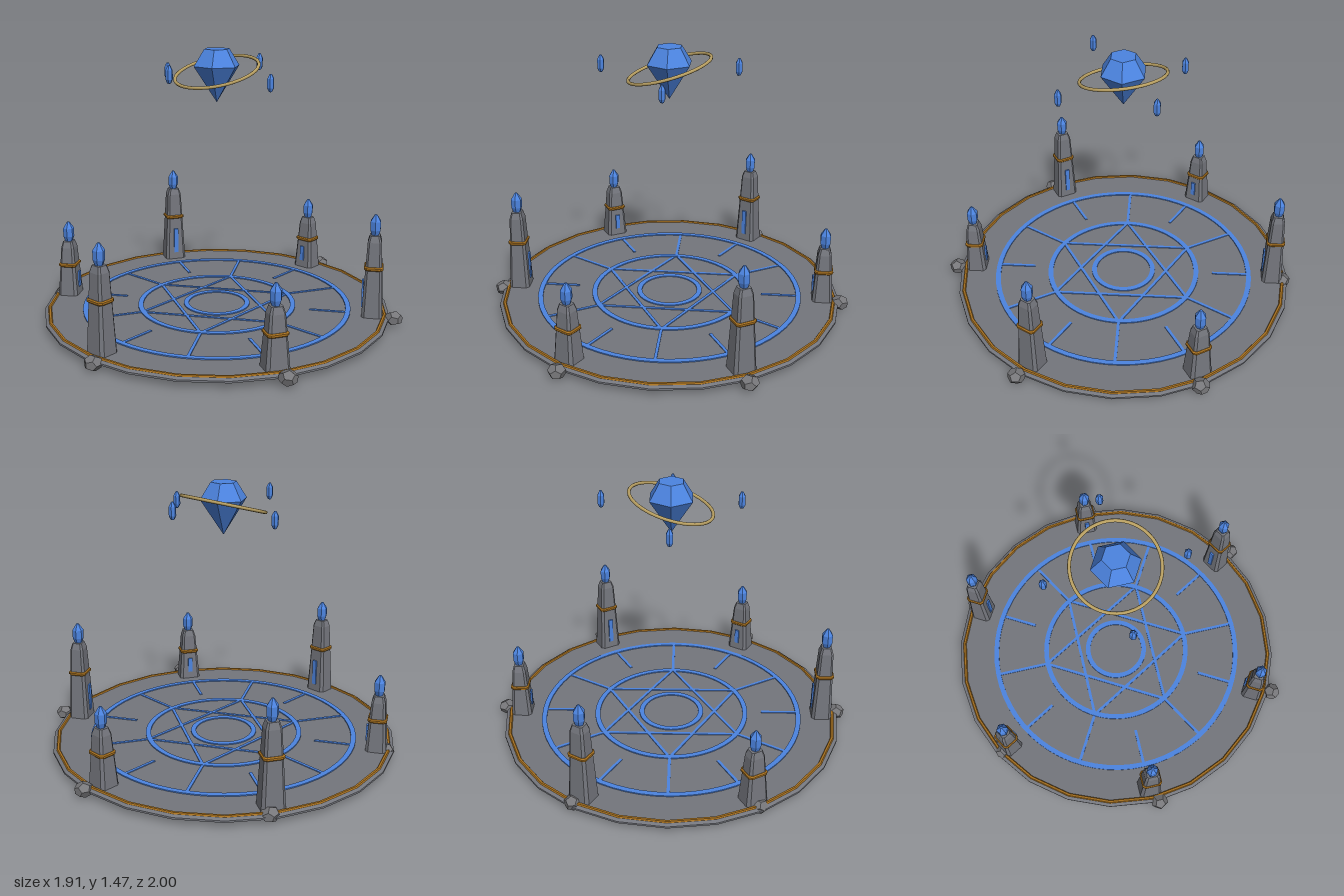
import * as THREE from 'three';

const mat = (name, color) => {
  const m = new THREE.MeshStandardMaterial({ color });
  m.name = name;
  return m;
};

// Faceted copy of a geometry
function facet(geo) {
  const g = geo.index ? geo.toNonIndexed() : geo;
  g.computeVertexNormals();
  return g;
}

// Turned shape from [radius, y] pairs, bottom to top
function turned(profile, sides) {
  const pts = profile.map(([r, y]) => new THREE.Vector2(r, y));
  return facet(new THREE.LatheGeometry(pts, sides));
}

// Six-sided gem with corners on the x axis
const gem = (profile) => turned(profile, 6).rotateY(Math.PI / 2);

// Stack of chamfered rectangles, each level [y, halfWidth, halfDepth], capped at both ends
function chamferedStack(levels, cut = 0.28) {
  const rings = levels.map(([y, w, d]) => {
    const c = cut * Math.min(w, d);
    return [[w, -d + c], [w, d - c], [w - c, d], [-w + c, d], [-w, d - c], [-w, -d + c], [-w + c, -d], [w - c, -d]]
      .map(([x, z]) => [x, y, z]);
  });
  const pos = [];
  const tri = (...p) => p.forEach((v) => pos.push(...v));
  const top = rings[rings.length - 1];
  for (let i = 0; i < 8; i++) {
    const j = (i + 1) % 8;
    for (let k = 0; k < rings.length - 1; k++) {
      const a = rings[k], b = rings[k + 1];
      tri(a[i], b[i], a[j]);
      tri(a[j], b[i], b[j]);
    }
    tri([0, levels[0][0], 0], rings[0][i], rings[0][j]);
    tri([0, top[0][1], 0], top[j], top[i]);
  }
  const g = new THREE.BufferGeometry();
  g.setAttribute('position', new THREE.Float32BufferAttribute(pos, 3));
  g.computeVertexNormals();
  return g;
}

export function createModel() {
  const root = new THREE.Group();
  root.name = 'crystalShrine';
  const stone = mat('stone', 0x74767d);
  const rubble = mat('rubble', 0x77777a);
  const blue = mat('crystalBlue', 0x4c84e0);
  const bronze = mat('bronze', 0xa8711f);
  const paleGold = mat('paleGold', 0xb9a062);

  const add = (name, geo, material, parent = root) => {
    const m = new THREE.Mesh(geo, material);
    m.name = name;
    parent.add(m);
    return m;
  };

  // Floor disc and its rim
  const floorY = 0.052;
  add('floorDisc', turned([[0, 0.034], [0.955, 0.034], [0.955, 0.044], [0.94, floorY], [0, floorY]], 24), stone);
  add('floorRim', facet(new THREE.TorusGeometry(0.928, 0.011, 6, 24)).rotateX(Math.PI / 2), bronze).position.y = 0.05;

  // Inlaid rings
  const h = 0.006;
  for (const r of [0.17, 0.425, 0.73]) {
    const w = 0.014;
    const ring = turned([[r + w, 0], [r + w, h], [r - w, h], [r - w, 0]], 64);
    add('floorRing', ring, blue).position.y = floorY;
  }

  // Straight inlay between two floor points
  function inlay(name, x1, z1, x2, z2) {
    const len = Math.hypot(x2 - x1, z2 - z1);
    const m = add(name, new THREE.BoxGeometry(len, h - 0.001, 0.016), blue);
    m.position.set((x1 + x2) / 2, floorY + h / 2 - 0.001, (z1 + z2) / 2);
    m.rotation.y = -Math.atan2(z2 - z1, x2 - x1);
  }

  // Six-pointed star and twelve spokes
  for (let i = 0; i < 6; i++) {
    const a = (i * Math.PI) / 3, b = a + (2 * Math.PI) / 3, r = 0.43;
    inlay('starLine', r * Math.cos(a), r * Math.sin(a), r * Math.cos(b), r * Math.sin(b));
  }
  for (let i = 0; i < 12; i++) {
    const a = (i * Math.PI) / 6, r1 = i % 2 ? 0.52 : 0.43, r2 = 0.73;
    inlay('spoke', r1 * Math.cos(a), r1 * Math.sin(a), r2 * Math.cos(a), r2 * Math.sin(a));
  }

  // Six pillars, tall and short in turn, each facing outwards
  const tipGem = gem([[0, -0.01], [0.021, 0], [0.031, 0.028], [0.031, 0.075], [0.007, 0.112], [0, 0.114]]);
  for (let i = 0; i < 6; i++) {
    const a = (i * Math.PI) / 3;
    const tall = i % 2 === 0;
    const height = tall ? 0.455 : 0.315;
    const pillar = new THREE.Group();
    pillar.name = tall ? 'tallPillar' : 'shortPillar';
    pillar.position.set(0.86 * Math.sin(a), 0.05, 0.86 * Math.cos(a));
    pillar.rotation.y = a;
    root.add(pillar);
    add('pillarShaft', chamferedStack([
      [0, 0.063, 0.056], [height - 0.035, 0.041, 0.037], [height, 0.03, 0.027],
    ]), stone, pillar);

    const bandY = tall ? 0.276 : 0.18;
    add('pillarBand', chamferedStack([
      [bandY - 0.011, 0.05, 0.045], [bandY - 0.005, 0.056, 0.051],
      [bandY + 0.005, 0.056, 0.051], [bandY + 0.011, 0.05, 0.045],
    ]), bronze, pillar);

    add('pillarCrystal', tipGem, blue, pillar).position.y = height;

    // Glowing slit on the inner side
    const low = 0.045, high = tall ? 0.2 : 0.135;
    add('pillarSlit', new THREE.BoxGeometry(0.026, high - low, 0.009), blue, pillar)
      .position.set(0, (low + high) / 2, -0.0545);
  }

  // Loose rocks at the edge
  const rocks = [[0.04, 0.95], [0.855, 0.47], [0.855, -0.475], [0.035, -0.95], [-0.785, -0.48], [-0.785, 0.46]];
  rocks.forEach(([x, z], i) => {
    const geo = new THREE.DodecahedronGeometry(0.049).rotateY(i * 1.1).rotateX(0.35 * i).scale(1, 0.82, 1);
    geo.computeBoundingBox();
    const rock = add('rock', facet(geo), rubble);
    rock.position.set(x, -geo.boundingBox.min.y + 0.006, z);
    if (i === 0) rock.position.set(x, -geo.boundingBox.min.y, 1 - geo.boundingBox.max.z);
    if (i === 3) rock.position.z = -1 - geo.boundingBox.min.z;
  });

  // Floating central crystal
  add('centralCrystal', gem([[0, 1.19], [0.127, 1.383], [0.07, 1.472], [0, 1.472]]), blue);

  // Tilted ring around it
  const orbit = add('orbitRing', new THREE.TorusGeometry(0.225, 0.009, 8, 64), paleGold);
  orbit.position.y = 1.354;
  orbit.rotation.x = Math.PI / 2 + 0.285;

  // Four floating shards
  const shard = gem([[0, -0.047], [0.01, -0.043], [0.019, -0.024], [0.019, 0.022], [0.006, 0.046], [0, 0.047]]);
  for (let i = 0; i < 4; i++) {
    const a = (i * Math.PI) / 2;
    add('floatingShard', shard, blue)
      .position.set(0.36 * Math.cos(a), i % 2 ? 1.372 : 1.325, 0.36 * Math.sin(a));
  }

  return root;
}
